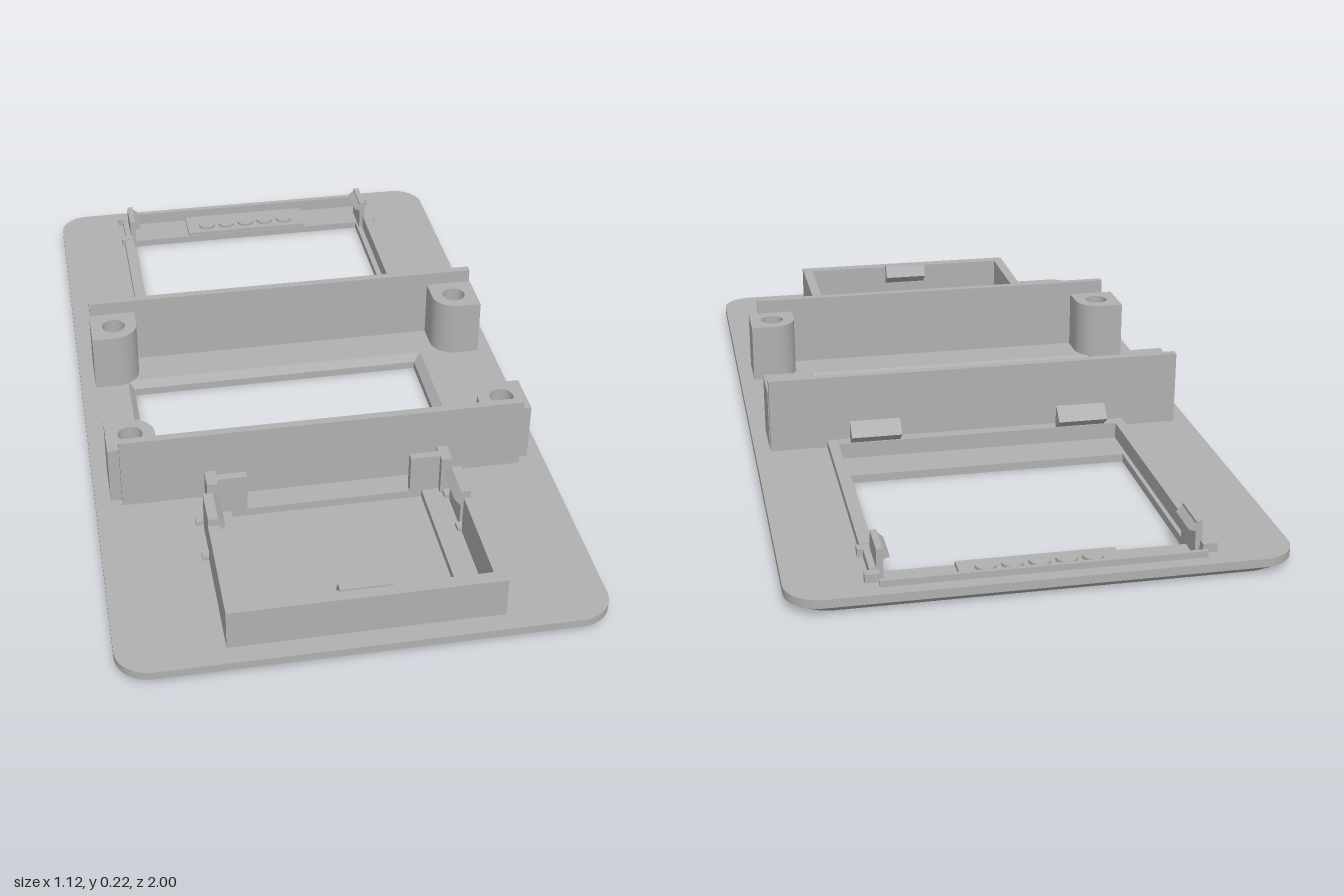
import * as THREE from 'three';
import { toCreasedNormals } from 'three/addons/utils/BufferGeometryUtils.js';

const TOP = 0.04; // upper face of the plate
const SHELF = 0.02; // floor of the recesses

export function createModel() {
  const model = new THREE.Group();
  model.name = 'mountingPanel';
  const grey = new THREE.MeshStandardMaterial({ color: 0xb0b0b0 });
  grey.name = 'plasticGrey';

  function add(name, geometry) {
    const mesh = new THREE.Mesh(geometry, grey);
    mesh.name = name;
    model.add(mesh);
    return mesh;
  }
  // Box given by its limits on each axis
  function box(name, x0, x1, y0, y1, z0, z1) {
    const g = new THREE.BoxGeometry(x1 - x0, y1 - y0, z1 - z0);
    g.translate((x0 + x1) / 2, (y0 + y1) / 2, (z0 + z1) / 2);
    return add(name, g);
  }
  // Same box on both sides, x limits measured outwards from the middle
  function pair(name, x0, x1, ...rest) {
    box(name + 'Left', x0, x1, ...rest);
    box(name + 'Right', -x1, -x0, ...rest);
  }
  // Plan outline (x, z) extruded between two heights
  function slab(shape, y0, y1) {
    const g = new THREE.ExtrudeGeometry(shape, { depth: y1 - y0, bevelEnabled: false, curveSegments: 10 });
    return g.rotateX(Math.PI / 2).translate(0, y1, 0);
  }
  // Side profile (z, y) extruded along x
  function prism(name, points, x0, x1) {
    const shape = new THREE.Shape(points.map(([z, y]) => new THREE.Vector2(-z, y)));
    const g = new THREE.ExtrudeGeometry(shape, { depth: x1 - x0, bevelEnabled: false });
    return add(name, g.rotateY(Math.PI / 2).translate(x0, 0, 0));
  }
  function rect(x0, x1, z0, z1) {
    return new THREE.Path([[x0, z0], [x0, z1], [x1, z1], [x1, z0]].map(p => new THREE.Vector2(...p)));
  }
  function plateShape(holes) {
    const w = 0.56, l = 1, r = 0.08, s = new THREE.Shape();
    s.absarc(w - r, l - r, r, 0, Math.PI / 2);
    s.absarc(r - w, l - r, r, Math.PI / 2, Math.PI);
    s.absarc(r - w, r - l, r, Math.PI, Math.PI * 1.5);
    s.absarc(w - r, r - l, r, Math.PI * 1.5, Math.PI * 2);
    s.closePath();
    s.holes.push(...holes);
    return s;
  }
  // Move the vertices of a slab by a rule, then rebuild normals
  function reshape(g, rule) {
    const p = g.attributes.position;
    for (let i = 0; i < p.count; i++) {
      const v = new THREE.Vector3().fromBufferAttribute(p, i);
      rule(v);
      p.setXYZ(i, v.x, v.y, v.z);
    }
    return toCreasedNormals(g, 0.5);
  }

  // Lower half of the plate, its outer edge chamfered inwards
  const lower = slab(plateShape([rect(-0.345, 0.34, -0.86, -0.355), rect(-0.42, 0.345, -0.08, 0.29)]), 0, SHELF);
  add('plateLower', reshape(lower, v => {
    if (v.y < 0.01 && (Math.abs(v.x) > 0.45 || Math.abs(v.z) > 0.9)) {
      v.x *= 0.955;
      v.z *= 0.975;
    }
  }));

  // Upper half of the plate: recesses, and a middle window widening upwards
  const upper = slab(plateShape([
    rect(-0.355, 0.355, -0.96, -0.25),
    rect(-0.435, 0.365, -0.095, 0.305),
    rect(-0.24, 0.23, 0.49, 0.92),
  ]), SHELF, TOP);
  add('plateUpper', reshape(upper, v => {
    if (v.y < 0.03 && Math.abs(v.x) < 0.45 && v.z > -0.1 && v.z < 0.31) {
      v.x += v.x > 0 ? -0.02 : 0.015;
      v.z += v.z > 0.1 ? -0.015 : 0.015;
    }
  }));

  // Cross walls either side of the middle window
  box('backWall', -0.52, 0.52, TOP, 0.225, -0.217, -0.197);
  box('frontWall', -0.495, 0.495, TOP, 0.225, 0.406, 0.426);

  // Screw posts: square against the wall, rounded towards the window
  for (const [end, cz, away] of [['back', -0.137, 1], ['front', 0.344, -1]]) {
    for (const side of [-1, 1]) {
      const r = 0.06, cx = side * 0.462, pts = [];
      pts.push([cx - side * r, cz - away * r], [cx + side * r, cz - away * r], [cx + side * r, cz + away * r]);
      for (let i = 0; i <= 8; i++) {
        const a = (i / 8) * Math.PI / 2;
        pts.push([cx - side * r * Math.sin(a), cz + away * r * Math.cos(a)]);
      }
      const s = new THREE.Shape(pts.map(p => new THREE.Vector2(...p)));
      const bore = new THREE.Path();
      bore.absarc(cx, cz, 0.03, 0, Math.PI * 2);
      s.holes.push(bore);
      add(end + 'Post' + (side > 0 ? 'Left' : 'Right'), toCreasedNormals(slab(s, TOP, 0.19), 0.5));
    }
  }

  // Rails round the back window
  pair('windowRail', 0.355, 0.38, TOP, 0.06, -0.8, -0.22);
  box('windowFrontRail', -0.355, 0.355, TOP, 0.06, -0.25, -0.22);
  box('windowBackLip', -0.36, 0.36, TOP, 0.055, -0.968, -0.958);

  // Latch wedges on the front rail
  for (const x of [-0.325, 0.2]) {
    prism('railLatch', [[-0.24, 0.055], [-0.24, 0.115], [-0.255, 0.108], [-0.278, 0.085]], x, x + 0.125);
  }

  // Spring clips at the back corners of the window
  pair('windowClip', 0.345, 0.36, SHELF, 0.105, -0.92, -0.825);
  pair('windowClipBase', 0.36, 0.375, TOP, 0.06, -0.92, -0.825);
  for (const z of [-0.945, -0.825]) pair('windowClipFoot', 0.355, 0.388, TOP, 0.06, z, z + 0.022);
  for (const s of [-1, 1]) {
    const hook = new THREE.Shape([[0.36, 0.075], [0.36, 0.105], [0.352, 0.105], [0.33, 0.085]]
      .map(([x, y]) => new THREE.Vector2(s * x, y)));
    add('windowClipHook', new THREE.ExtrudeGeometry(hook, { depth: 0.095, bevelEnabled: false }).translate(0, 0, -0.92));
  }

  // Raised pad with round studs on the back shelf
  box('shelfPad', -0.18, 0.18, SHELF, 0.03, -0.96, -0.862);
  for (let i = -2; i <= 2; i++) {
    add('shelfStud', new THREE.CylinderGeometry(0.024, 0.024, 0.008, 20).translate(i * 0.06, 0.033, -0.9));
  }

  // Tray at the front: wall, sides and separate side clips
  box('trayFrontWall', -0.315, 0.315, TOP, 0.14, 0.92, 0.952);
  pair('traySide', 0.288, 0.315, TOP, 0.14, 0.658, 0.92);
  pair('trayClip', 0.288, 0.312, TOP, 0.14, 0.538, 0.635);
  pair('trayCornerPost', 0.272, 0.298, TOP, 0.14, 0.455, 0.508);
  pair('trayBackTab', 0.2, 0.272, TOP, 0.14, 0.472, 0.492);
  for (const z of [0.508, 0.635]) pair('traySlotFoot', 0.278, 0.33, TOP, 0.05, z, z + 0.024);
  for (const s of [-1, 1]) {
    const hook = new THREE.Shape([[0.288, 0.1], [0.288, 0.14], [0.272, 0.12]]
      .map(([x, y]) => new THREE.Vector2(s * x, y)));
    add('trayClipHook', new THREE.ExtrudeGeometry(hook, { depth: 0.097, bevelEnabled: false }).translate(0, 0, 0.538));
  }
  prism('trayLatch', [[0.925, 0.085], [0.925, 0.145], [0.905, 0.145], [0.885, 0.115]], -0.06, 0.06);

  return model;
}
